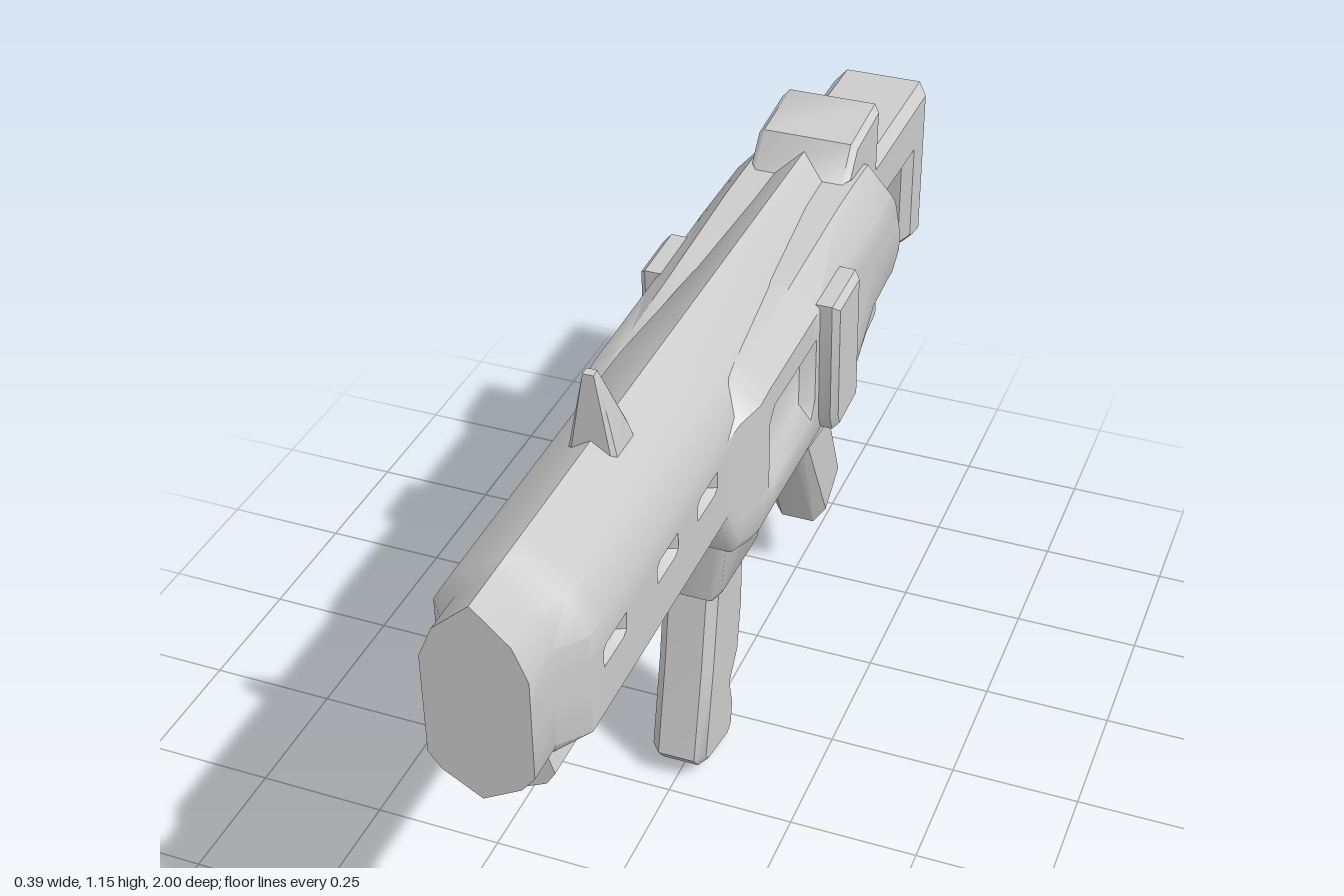
import * as THREE from 'three';
import { toCreasedNormals } from 'three/addons/utils/BufferGeometryUtils.js';

const material = new THREE.MeshStandardMaterial({ color: 0xcccccc });

function part(name, geometry, crease = 0.75) {
  const mesh = new THREE.Mesh(toCreasedNormals(geometry, crease), material);
  mesh.name = name;
  return mesh;
}

// Side profile of [z, y] points, extruded across x with bevelled edges;
// widthAt(y, z) optionally scales the half width.
function sideProfile(name, points, halfWidth, bevel, widthAt) {
  const shape = new THREE.Shape(points.map(([z, y]) => new THREE.Vector2(z, y)));
  const geometry = new THREE.ExtrudeGeometry(shape, {
    depth: 2 * (halfWidth - bevel), bevelEnabled: true, bevelThickness: bevel,
    bevelSize: bevel, bevelOffset: -bevel, bevelSegments: 1,
  });
  geometry.translate(0, 0, bevel - halfWidth).rotateY(-Math.PI / 2);
  if (widthAt) {
    const p = geometry.attributes.position;
    for (let i = 0; i < p.count; i++) p.setX(i, p.getX(i) * widthAt(p.getY(i), p.getZ(i)));
  }
  return part(name, geometry);
}

// Loft through mirrored sections, ordered front to back.
// Each section is { z, half }, half running from top centre to bottom centre.
function loft(name, sections, crease) {
  const positions = [], index = [];
  const rings = sections.map(({ z, half }) => {
    const mirrored = half.slice(1, -1).reverse().map(([x, y]) => [-x, y]);
    return [...half, ...mirrored].map(([x, y]) => [x, y, z]);
  });
  const n = rings[0].length;
  rings.forEach((ring) => ring.forEach((v) => positions.push(...v)));
  for (let i = 0; i < rings.length - 1; i++) {
    for (let j = 0; j < n; j++) {
      const a = i * n + j, b = i * n + (j + 1) % n;
      index.push(a, b, a + n, b, b + n, a + n);
    }
  }
  [0, rings.length - 1].forEach((r) => {
    const ys = rings[r].map((v) => v[1]);
    const centre = positions.length / 3;
    positions.push(0, (Math.max(...ys) + Math.min(...ys)) / 2, rings[r][0][2]);
    for (let j = 0; j < n; j++) {
      const a = r * n + j, b = r * n + (j + 1) % n;
      if (r === 0) index.push(centre, b, a);
      else index.push(centre, a, b);
    }
  });
  const geometry = new THREE.BufferGeometry();
  geometry.setAttribute('position', new THREE.Float32BufferAttribute(positions, 3));
  geometry.setIndex(index);
  return part(name, geometry, crease);
}

// Barrel shroud: peaked section with three slots sunk into each side
function barrelShroud() {
  const section = (z, w, sunk = 0, bottom = 0.65) => ({
    z,
    half: [[0, 1.03], [w * 0.72, 0.97], [w, 0.91], [w, 0.85], [w - sunk, 0.842],
      [w - sunk, 0.818], [w, 0.81], [w, 0.72], [w * 0.75, 0.69], [0, bottom]],
  });
  const sections = [section(1, 0.09), section(0.92, 0.09), section(0.87, 0.13)];
  [0.82, 0.6, 0.42].forEach((z) => sections.push(
    section(z, 0.13), section(z - 0.012, 0.13, 0.025),
    section(z - 0.078, 0.13, 0.025), section(z - 0.09, 0.13)));
  sections.push(section(0.22, 0.13), section(-0.1, 0.1), section(-0.5, 0.1));
  return loft('barrelShroud', sections);
}

// Receiver: faceted body with a sunken panel on each side
function receiver() {
  const section = (z, w, top, shoulder, bottom, sunk = 0) => {
    const low = bottom + 0.03;
    const y = (v) => THREE.MathUtils.clamp(v, low, shoulder);
    return {
      z,
      half: [[0, top], [w * 0.68, top], [w, shoulder], [w, y(0.865)], [w - sunk, y(0.84)],
        [w - sunk, y(0.73)], [w, y(0.7)], [w, low], [w * 0.88, bottom], [0, bottom]],
    };
  };
  return loft('receiver', [
    section(0.28, 0.13, 0.92, 0.88, 0.69),
    section(0.25, 0.142, 0.935, 0.9, 0.62),
    section(0.2, 0.16, 0.955, 0.91, 0.615),
    section(0.15, 0.16, 0.96, 0.915, 0.615),
    section(0.125, 0.16, 0.96, 0.915, 0.615, 0.025),
    section(-0.08, 0.16, 0.97, 0.92, 0.615, 0.025),
    section(-0.1, 0.16, 0.972, 0.92, 0.615),
    section(-0.35, 0.16, 0.988, 0.93, 0.62),
    section(-0.46, 0.16, 0.99, 0.93, 0.7),
    section(-0.55, 0.16, 0.988, 0.93, 0.71),
    section(-0.58, 0.16, 0.95, 0.9, 0.71),
    section(-0.64, 0.155, 0.83, 0.8, 0.73),
  ]);
}

export function createModel() {
  const model = new THREE.Group();
  model.name = 'toyBlaster';
  model.add(barrelShroud(), receiver());

  // Keel under the barrel
  const keel = (z) => ({ z, half: [[0, 0.71], [0.08, 0.7], [0.09, 0.67], [0.075, 0.645], [0, 0.607]] });
  model.add(loft('underBarrel', [keel(0.93), keel(0.27)]));

  // Raised pads on both sides
  for (const side of [1, -1]) {
    const pad = sideProfile('sidePad',
      [[-0.115, 0.93], [-0.25, 0.935], [-0.26, 0.655], [-0.14, 0.648], [-0.125, 0.68]], 0.03, 0.012);
    pad.position.x = side * 0.165;
    model.add(pad);
  }

  // Front sight fin, narrowing to its tip
  model.add(sideProfile('frontSight',
    [[0.555, 0.99], [0.555, 1.155], [0.54, 1.157], [0.48, 1.03], [0.47, 0.99]], 0.045, 0.008,
    (y) => THREE.MathUtils.mapLinear(y, 0.99, 1.157, 1, 0.25)));

  // Rear collar and hooked stock
  model.add(sideProfile('rearCollar',
    [[-0.45, 0.99], [-0.5, 1.052], [-0.65, 1.068], [-0.645, 0.83], [-0.57, 0.83], [-0.565, 0.95]],
    0.1, 0.012));
  model.add(sideProfile('stock',
    [[-0.6, 0.95], [-1, 0.953], [-1, 0.595], [-0.93, 0.605], [-0.895, 0.62],
      [-0.893, 0.82], [-0.6, 0.826]], 0.1, 0.02));

  // Foregrip socket, wider at the top
  model.add(sideProfile('foregripSocket',
    [[0.2, 0.63], [0.155, 0.415], [0.13, 0.4], [-0.08, 0.39], [-0.15, 0.61], [-0.15, 0.63]],
    0.095, 0.02, (y) => THREE.MathUtils.mapLinear(y, 0.39, 0.63, 0.62, 1)));

  // Foregrip with finger swell
  model.add(sideProfile('foregrip',
    [[0.14, 0.43], [0.17, 0.25], [0.212, 0.055], [0.19, 0.027], [0.07, 0.002], [0.04, 0.02],
      [0.03, 0.08], [0.045, 0.14], [0.005, 0.19], [-0.015, 0.3], [-0.02, 0.43]], 0.055, 0.018));

  // Trigger housing and rear grip
  model.add(sideProfile('triggerHousing',
    [[-0.155, 0.56], [-0.18, 0.62], [-0.35, 0.625], [-0.45, 0.7], [-0.635, 0.695], [-0.635, 0.595],
      [-0.56, 0.58], [-0.48, 0.53], [-0.3, 0.515], [-0.18, 0.525]], 0.12, 0.025));
  model.add(sideProfile('rearGrip',
    [[-0.28, 0.56], [-0.5, 0.137], [-0.62, 0.215], [-0.47, 0.56]], 0.06, 0.025));

  return model;
}
